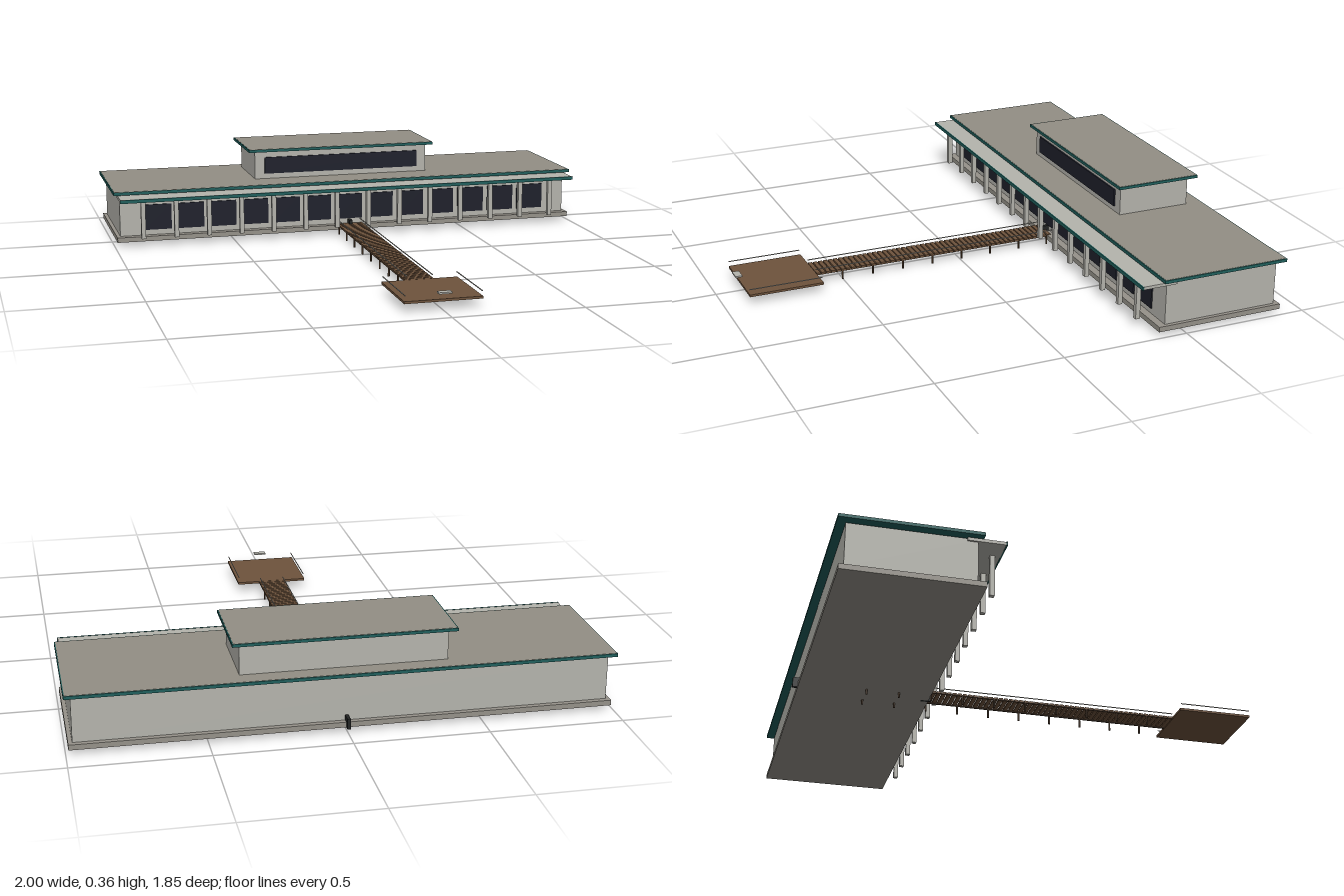
import * as THREE from 'three';

const mat = (name, color, extra = {}) => new THREE.MeshStandardMaterial({ name, color, ...extra });

export function createModel() {
  const model = new THREE.Group();
  model.name = 'lakesidePavilion';

  const wall = mat('pale concrete', 0xb5b4ad);
  const roofGrey = mat('roof grey', 0x938f85);
  const base = mat('plinth grey', 0x96928a);
  const teal = mat('teal trim', 0x1f5f5c);
  const glass = mat('dark glass', 0x1e202b);
  const wood = mat('deck wood', 0x6e533c);
  const pileWood = mat('pile wood', 0x4a3726);
  const metal = mat('dark metal', 0x222424);

  // Box given by its limits on each axis
  const box = (name, m, [x0, x1], [y0, y1], [z0, z1], parent = model) => {
    const mesh = new THREE.Mesh(new THREE.BoxGeometry(x1 - x0, y1 - y0, z1 - z0), m);
    mesh.position.set((x0 + x1) / 2, (y0 + y1) / 2, (z0 + z1) / 2);
    mesh.name = name;
    parent.add(mesh);
    return mesh;
  };
  const group = (name) => {
    const g = new THREE.Group();
    g.name = name;
    model.add(g);
    return g;
  };

  // Teal slab with a slightly inset grey top
  const flatRoof = (name, hx, y0, y1, z0, z1) => {
    const g = group(name);
    box('roofTrim', teal, [-hx, hx], [y0, y1], [z0, z1], g);
    const i = 0.004;
    box('roofSurface', roofGrey, [-hx + i, hx - i], [y1 - 0.002, y1 + 0.001], [z0 + i, z1 - i], g);
  };

  // Main hall
  box('plinth', base, [-0.99, 0.99], [0.02, 0.04], [-0.905, -0.39]);
  box('hallWalls', wall, [-0.975, 0.975], [0.04, 0.208], [-0.885, -0.42]);
  box('roofSpacer', metal, [-0.06, 0.06], [0.207, 0.216], [-0.71, -0.6]);
  flatRoof('mainRoof', 1, 0.215, 0.227, -0.915, -0.4);

  // Upper storey
  box('upperWalls', wall, [-0.38, 0.38], [0.226, 0.346], [-0.845, -0.545]);
  box('upperWindow', glass, [-0.338, 0.338], [0.25, 0.32], [-0.546, -0.539]);
  flatRoof('upperRoof', 0.408, 0.345, 0.356, -0.875, -0.525);

  // Porch canopy with a teal front edge
  box('canopy', wall, [-0.982, 0.982], [0.198, 0.21], [-0.46, -0.322]);
  box('canopyEdge', teal, [-0.984, 0.984], [0.197, 0.211], [-0.322, -0.317]);

  // Colonnade and the windows between the columns
  const colonnade = group('colonnade');
  const windows = group('windows');
  const step = 0.1366;
  for (let i = 0; i < 14; i++) {
    const x = (i - 6.5) * step;
    box('column', wall, [x - 0.009, x + 0.009], [0.04, 0.199], [-0.36, -0.342], colonnade);
    if (i < 13) {
      box('window', glass, [x + 0.01, x + step - 0.01], [0.062, 0.168], [-0.422, -0.415], windows);
    }
  }

  // Dark fittings on the plinth ledges
  box('frontFitting', metal, [-0.006, 0.006], [0.02, 0.06], [-0.42, -0.38]);
  box('backFitting', metal, [-0.006, 0.006], [0.02, 0.06], [-0.925, -0.885]);

  // Walkway planks
  const walkway = group('walkway');
  const pitch = 0.0208;
  for (let z = 0.6; z > -0.4; z -= pitch) {
    box('plank', wood, [-0.055, 0.055], [0.036, 0.043], [z - 0.008, z + 0.008], walkway);
  }
  for (const s of [-1, 1]) {
    const x = s * 0.05;
    box('stringer', pileWood, [x - 0.004, x + 0.004], [0.034, 0.039], [-0.39, 0.61], walkway);
    box('walkwayRail', wall, [x - 0.0015, x + 0.0015], [0.056, 0.059], [-0.42, 0.61], walkway);
  }

  // Piles in pairs
  const piles = group('piles');
  const pileGeo = new THREE.CylinderGeometry(0.004, 0.004, 0.038, 8);
  for (let i = 0; i < 10; i++) {
    for (const s of [-1, 1]) {
      const pile = new THREE.Mesh(pileGeo, pileWood);
      pile.name = 'pile';
      pile.position.set(s * 0.05, 0.019, 0.5 - i * 0.127);
      piles.add(pile);
    }
  }

  // End platform with side rails and a small panel
  const platform = group('platform');
  box('platformDeck', wood, [-0.147, 0.147], [0.034, 0.043], [0.61, 0.905], platform);
  for (const s of [-1, 1]) {
    const x = s * 0.143;
    box('platformRail', wall, [x - 0.0015, x + 0.0015], [0.062, 0.065], [0.615, 0.905], platform);
  }
  box('endPanel', wall, [-0.025, 0.025], [0.066, 0.072], [0.898, 0.925], platform);

  return model;
}
